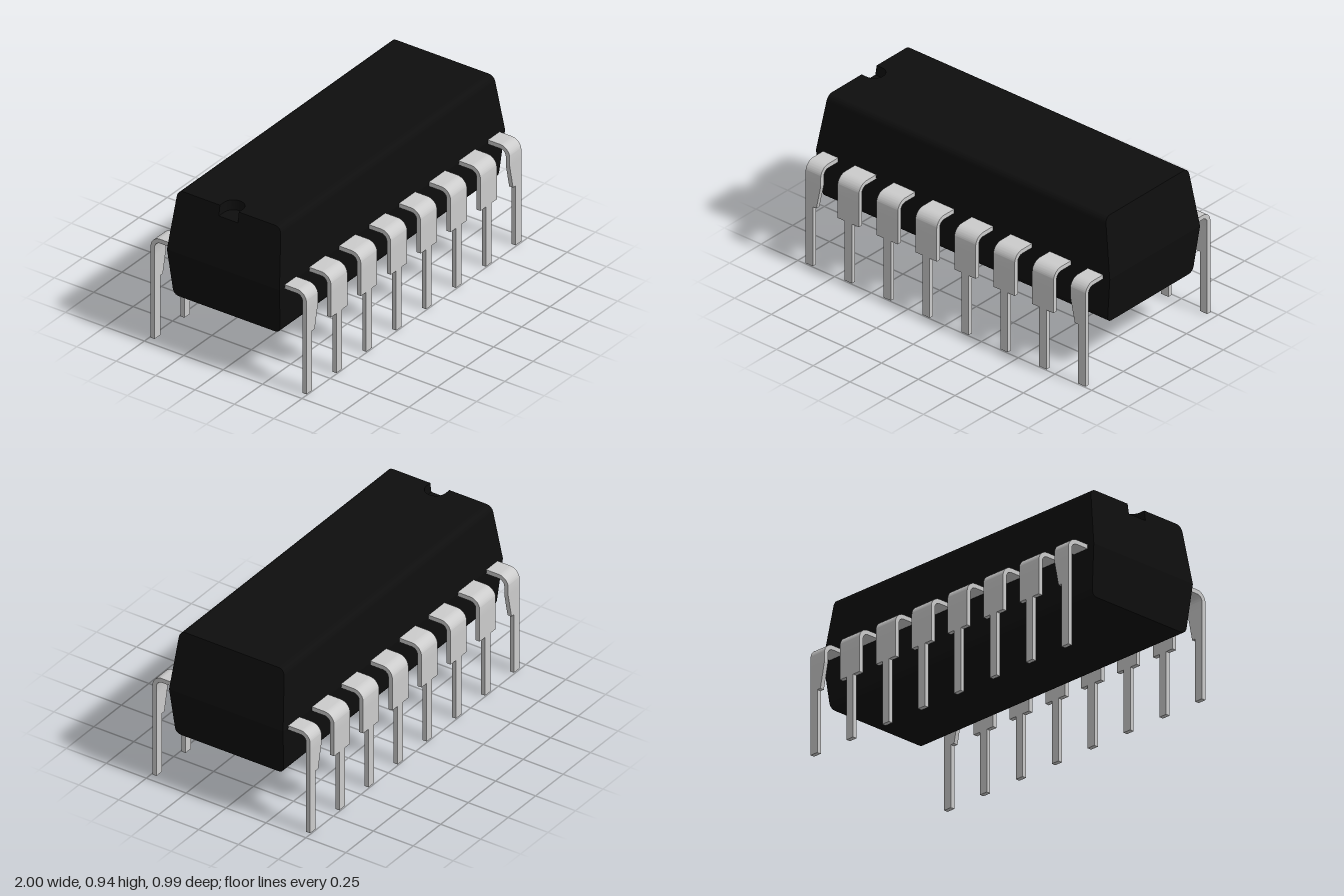
import * as THREE from 'three';
import { toCreasedNormals } from 'three/addons/utils/BufferGeometryUtils.js';

const MID = 0.6, TOP = 0.94, BOTTOM = 0.32, NOTCH_Y = 0.88, NOTCH_R = 0.06, NOTCH_END = -0.84;
const PINS = 8, PITCH = 0.265, BEND_Y = 0.5, SHOULDER_Y = 0.357;
const OUT = 0.494, THICK = 0.025;

const plastic = new THREE.MeshStandardMaterial({ color: 0x0e0e0e });
const metal = new THREE.MeshStandardMaterial({ color: 0xcccccc });

function addMesh(parent, name, geometry, material) {
  const mesh = new THREE.Mesh(toCreasedNormals(geometry, 0.5), material);
  mesh.name = name;
  parent.add(mesh);
}

// Extrudes a (-z, y) profile along x from x0 to x1
function extrudeX(shape, x0, x1) {
  return new THREE.ExtrudeGeometry(shape, { depth: x1 - x0, bevelEnabled: false, curveSegments: 10 })
    .rotateY(Math.PI / 2).translate(x0, 0, 0);
}

// Leans the outer ends of the body inwards, away from the parting line
function taperEnds(geometry) {
  const p = geometry.attributes.position;
  for (let i = 0; i < p.count; i++) {
    const x = p.getX(i), y = p.getY(i);
    if (Math.abs(x) < 0.99) continue;
    const lean = y > MID ? 0.162 * (y - MID) : 0.118 * (MID - y);
    p.setX(i, Math.sign(x) * (1 - lean));
  }
  return geometry;
}

// Half of the body's section: side wall, rounded corner, flat face
function bodyProfile(wall, yWall, corner, yFlat, flat, notched) {
  const s = new THREE.Shape();
  s.moveTo(-0.357, MID);
  s.lineTo(-wall, yWall);
  s.quadraticCurveTo(-corner, yFlat, -flat, yFlat);
  if (notched) {
    s.lineTo(-NOTCH_R, TOP);
    s.lineTo(-NOTCH_R, NOTCH_Y);
    s.lineTo(NOTCH_R, NOTCH_Y);
    s.lineTo(NOTCH_R, TOP);
  }
  s.lineTo(flat, yFlat);
  s.quadraticCurveTo(corner, yFlat, wall, yWall);
  s.lineTo(0.357, MID);
  s.closePath();
  return s;
}

function createBody() {
  const body = new THREE.Group();
  body.name = 'body';
  const upper = (notched) => bodyProfile(0.33, 0.9, 0.326, TOP, 0.288, notched);
  const lower = bodyProfile(0.34, 0.357, 0.337, BOTTOM, 0.302, false);
  addMesh(body, 'lowerBody', taperEnds(extrudeX(lower, -1, 1)), plastic);
  addMesh(body, 'upperBody', taperEnds(extrudeX(upper(false), NOTCH_END, 1)), plastic);
  addMesh(body, 'notchedEnd', taperEnds(extrudeX(upper(true), -1, NOTCH_END)), plastic);

  // Rounded inner end of the orientation notch
  const cx = NOTCH_END - 0.01 - NOTCH_R;
  const s = new THREE.Shape();
  s.moveTo(cx, NOTCH_R);
  s.lineTo(NOTCH_END, NOTCH_R);
  s.lineTo(NOTCH_END, -NOTCH_R);
  s.lineTo(cx, -NOTCH_R);
  s.absarc(cx, 0, NOTCH_R, -Math.PI / 2, Math.PI / 2, false);
  const fill = new THREE.ExtrudeGeometry(s, { depth: TOP - NOTCH_Y, bevelEnabled: false, curveSegments: 16 })
    .rotateX(-Math.PI / 2).translate(0, NOTCH_Y, 0);
  addMesh(body, 'notchRound', fill, plastic);
  return body;
}

// Side profile of the bent shoulder, from inside the body to BEND_Y
function bendProfile() {
  const r = 0.06, c = -OUT + r, cy = 0.61 - r;
  const s = new THREE.Shape();
  s.moveTo(-0.3, cy + r);
  s.lineTo(c, cy + r);
  s.absarc(c, cy, r, Math.PI / 2, Math.PI, false);
  s.lineTo(-OUT, BEND_Y);
  s.lineTo(-OUT + THICK, BEND_Y);
  s.absarc(c, cy, r - THICK, Math.PI, Math.PI / 2, true);
  s.lineTo(-0.3, cy + r - THICK);
  s.closePath();
  return s;
}

// end: -1 or 1 for the narrow corner pins, 0 for the others
function createPin(end) {
  const pin = new THREE.Group();
  pin.name = end ? 'cornerPin' : 'pin';
  const leg = 0.025, wide = end ? 0.078 : 0.0725;
  // Corner pins are flush on the outside and taper on the inside
  const inner = end ? 0.048 : wide, outer = end ? leg : wide;
  const dir = end > 0 ? -1 : 1;
  const edges = [-outer * dir, wide * dir].sort((a, b) => a - b);
  addMesh(pin, 'shoulder', extrudeX(bendProfile(), edges[0], edges[1]), metal);
  const outline = [
    [-outer, BEND_Y], [wide, BEND_Y], [inner, SHOULDER_Y], [leg, SHOULDER_Y],
    [leg, 0], [-leg, 0], [-leg, SHOULDER_Y],
  ];
  if (!end) outline.push([-outer, SHOULDER_Y]);
  const shape = new THREE.Shape(outline.map(([x, y]) => new THREE.Vector2(x * dir, y)));
  const blade = new THREE.ExtrudeGeometry(shape, { depth: THICK, bevelEnabled: false })
    .translate(0, 0, OUT - THICK);
  addMesh(pin, 'leg', blade, metal);
  return pin;
}

function createPinRow(name) {
  const row = new THREE.Group();
  row.name = name;
  for (let i = 0; i < PINS; i++) {
    const pin = createPin(i === 0 ? -1 : i === PINS - 1 ? 1 : 0);
    pin.position.x = (i - (PINS - 1) / 2) * PITCH;
    row.add(pin);
  }
  return row;
}

export function createModel() {
  const model = new THREE.Group();
  model.name = 'dualInlineChip';
  const backPins = createPinRow('backPins');
  backPins.rotation.y = Math.PI;
  model.add(createBody(), createPinRow('frontPins'), backPins);
  return model;
}
